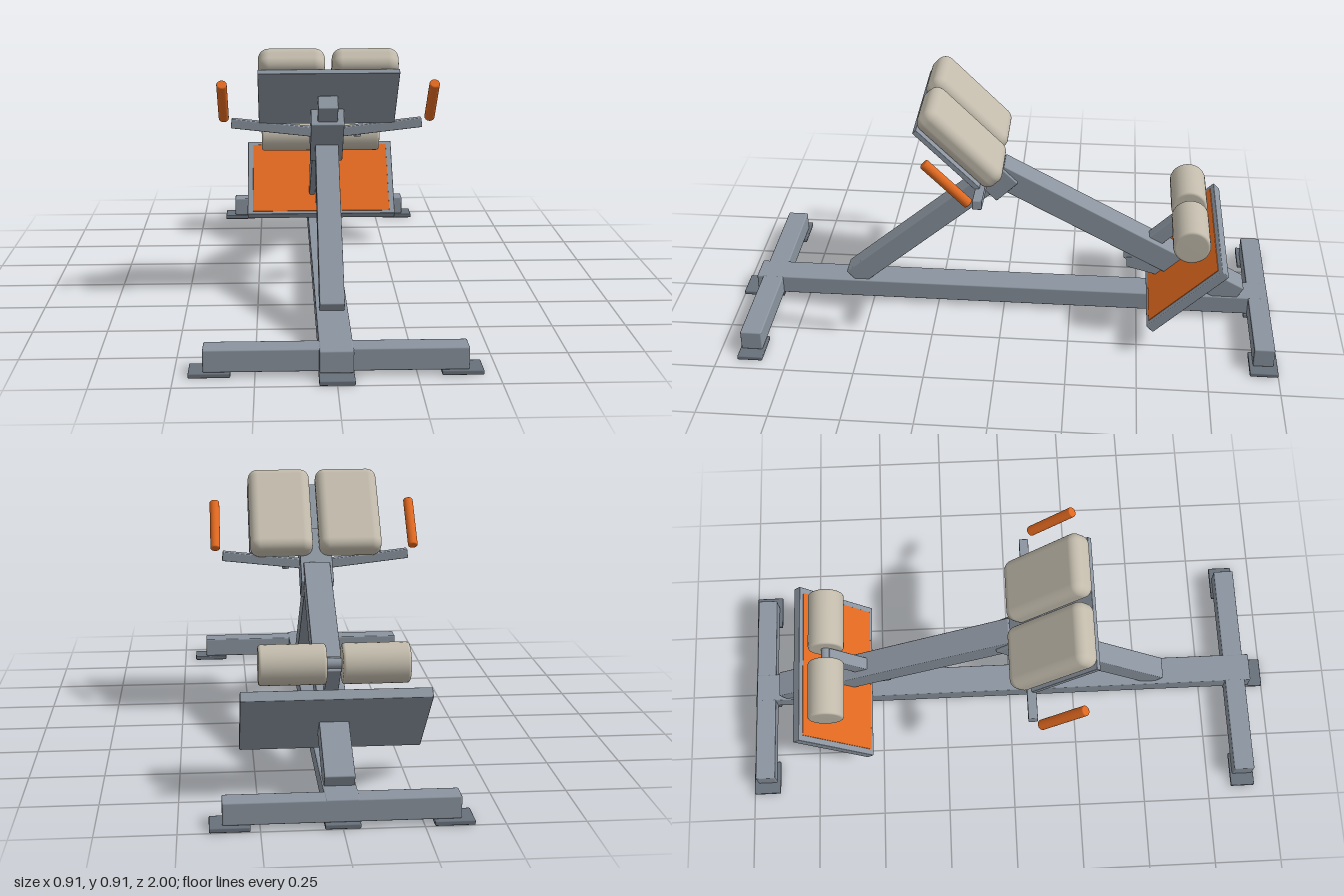
import * as THREE from 'three';
import { RoundedBoxGeometry } from 'three/addons/geometries/RoundedBoxGeometry.js';

const material = (name, color) => {
  const m = new THREE.MeshStandardMaterial({ color });
  m.name = name;
  return m;
};

export function createModel() {
  const steel = material('steel grey', 0x8b949f);
  const darkSteel = material('dark grey', 0x68707a);
  const padding = material('beige padding', 0xc2bbac);
  const orange = material('orange', 0xe06820);

  const model = new THREE.Group();
  model.name = 'backExtensionBench';

  const add = (name, geometry, mat, x = 0, y = 0, z = 0) => {
    const mesh = new THREE.Mesh(geometry, mat);
    mesh.name = name;
    mesh.position.set(x, y, z);
    model.add(mesh);
    return mesh;
  };

  // Box given by its ranges on each axis
  const block = (name, mat, [x0, x1], [y0, y1], [z0, z1], r = 0.005) =>
    add(name, new RoundedBoxGeometry(x1 - x0, y1 - y0, z1 - z0, 2, r), mat,
      (x0 + x1) / 2, (y0 + y1) / 2, (z0 + z1) / 2);

  // Box running between two [z, y] points in the side plane
  const bar = (name, mat, from, to, width, thick, x = 0, r = 0.004, segments = 2) => {
    const dz = to[0] - from[0], dy = to[1] - from[1];
    const geometry = new RoundedBoxGeometry(width, thick, Math.hypot(dz, dy), segments, r);
    const mesh = add(name, geometry, mat, x, (from[1] + to[1]) / 2, (from[0] + to[0]) / 2);
    mesh.rotation.x = -Math.atan2(dy, dz);
    return mesh;
  };

  // Point on the 45 degree seat: s runs down its slope, n out of its face
  const seat = (s, n) => [-(s + n) * Math.SQRT1_2, (n - s) * Math.SQRT1_2];

  // Cylinder along y with softened ends
  const roundedRod = (radius, length, bevel) => {
    const h = length / 2, points = [new THREE.Vector2(0, -h)];
    for (const side of [-1, 1]) {
      for (let i = 0; i <= 4; i++) {
        const a = (side < 0 ? i - 4 : i) * Math.PI / 8;
        points.push(new THREE.Vector2(radius - bevel + bevel * Math.cos(a), side * (h - bevel) + bevel * Math.sin(a)));
      }
    }
    points.push(new THREE.Vector2(0, h));
    return new THREE.LatheGeometry(points, 32);
  };

  // Plate with a [z, y] outline, centred on x
  const sidePlate = (name, outline, width) => {
    const shape = new THREE.Shape(outline.map(p => new THREE.Vector2(...p)));
    const geometry = new THREE.ExtrudeGeometry(shape, { depth: width, bevelEnabled: false });
    geometry.translate(0, 0, -width / 2).rotateY(-Math.PI / 2);
    return add(name, geometry, steel);
  };

  // Base frame
  block('baseSpine', steel, [-0.053, 0.053], [0.018, 0.09], [-0.985, 0.945]);
  block('frontCrossbar', steel, [-0.41, 0.41], [0.016, 0.089], [0.845, 0.922]);
  block('rearCrossbar', steel, [-0.365, 0.365], [0.016, 0.089], [-0.985, -0.912]);

  // Floor plates
  block('frontCentreFoot', darkSteel, [-0.055, 0.055], [0, 0.016], [0.845, 1], 0.004);
  block('rearCentreFoot', darkSteel, [-0.055, 0.055], [0, 0.016], [-1, -0.9], 0.004);
  for (const side of [-1, 1]) {
    const span = (a, b) => [a * side, b * side].sort((p, q) => p - q);
    block('frontFoot', darkSteel, span(0.325, 0.455), [0, 0.016], [0.838, 0.928], 0.004);
    block('rearFoot', darkSteel, span(0.28, 0.405), [0, 0.016], [-1, -0.9], 0.004);
  }

  // Sloping beams
  bar('mainBeam', steel, [0.02, 0.57], [-0.872, 0.088], 0.096, 0.09);
  bar('frontStrut', steel, [0.574, 0.09], [0.06, 0.53], 0.083, 0.08);

  // Seat bracket, sliding post and backing plate
  bar('seatBracket', steel, seat(-0.586, 0.369), seat(-0.351, 0.369), 0.117, 0.108);
  bar('seatPost', steel, seat(-0.668, 0.356), seat(-0.5, 0.356), 0.07, 0.054);
  bar('seatPlate', steel, seat(-0.8, 0.391), seat(-0.495, 0.391), 0.484, 0.018, 0, 0.002);

  for (const side of [-1, 1]) {
    // Hip pads
    bar('hipPad', padding, seat(-0.82, 0.445), seat(-0.46, 0.445), 0.229, 0.092, side * 0.126, 0.036, 5);

    // Handle arms, rising outwards
    const arm = add('handleArm', new RoundedBoxGeometry(0.342, 0.034, 0.033, 2, 0.004), steel, side * 0.171, 0.6035, 0.068);
    arm.rotation.z = side * 0.113;

    // Grips
    const grip = add('handGrip', roundedRod(0.018, 0.21, 0.005), orange, side * 0.366, 0.718, 0.167);
    grip.rotation.x = Math.PI / 4;

    // Ankle rollers
    const roller = add('ankleRoller', roundedRod(0.066, 0.217, 0.01), padding, side * 0.1335, 0.424, -0.674);
    roller.rotation.z = Math.PI / 2;
  }

  // Locking knob below one arm
  add('lockKnob', new THREE.CylinderGeometry(0.013, 0.013, 0.03, 16), steel, 0.11, 0.587, 0.068);

  // Roller shaft and its post, passing through the beam
  const shaft = add('rollerShaft', new THREE.CylinderGeometry(0.018, 0.018, 0.1, 20), steel, 0, 0.424, -0.674);
  shaft.rotation.z = Math.PI / 2;
  bar('rollerPost', steel, [-0.46, 0.21], [-0.674, 0.424], 0.046, 0.055);

  // Foot platform with its mat
  bar('footPlatform', steel, [-0.542, 0.11], [-0.792, 0.36], 0.604, 0.035, 0, 0.003);
  bar('footMat', orange, [-0.539, 0.131], [-0.768, 0.36], 0.56, 0.006, 0, 0.001);

  // Brackets under the beam
  sidePlate('platformBracket', [[-0.455, 0.19], [-0.565, 0.16], [-0.64, 0.19], [-0.6, 0.24], [-0.455, 0.23]], 0.05);
  sidePlate('beamFoot', [[-0.62, 0.18], [-0.71, 0.085], [-0.8, 0.085], [-0.72, 0.17]], 0.06);

  return model;
}
